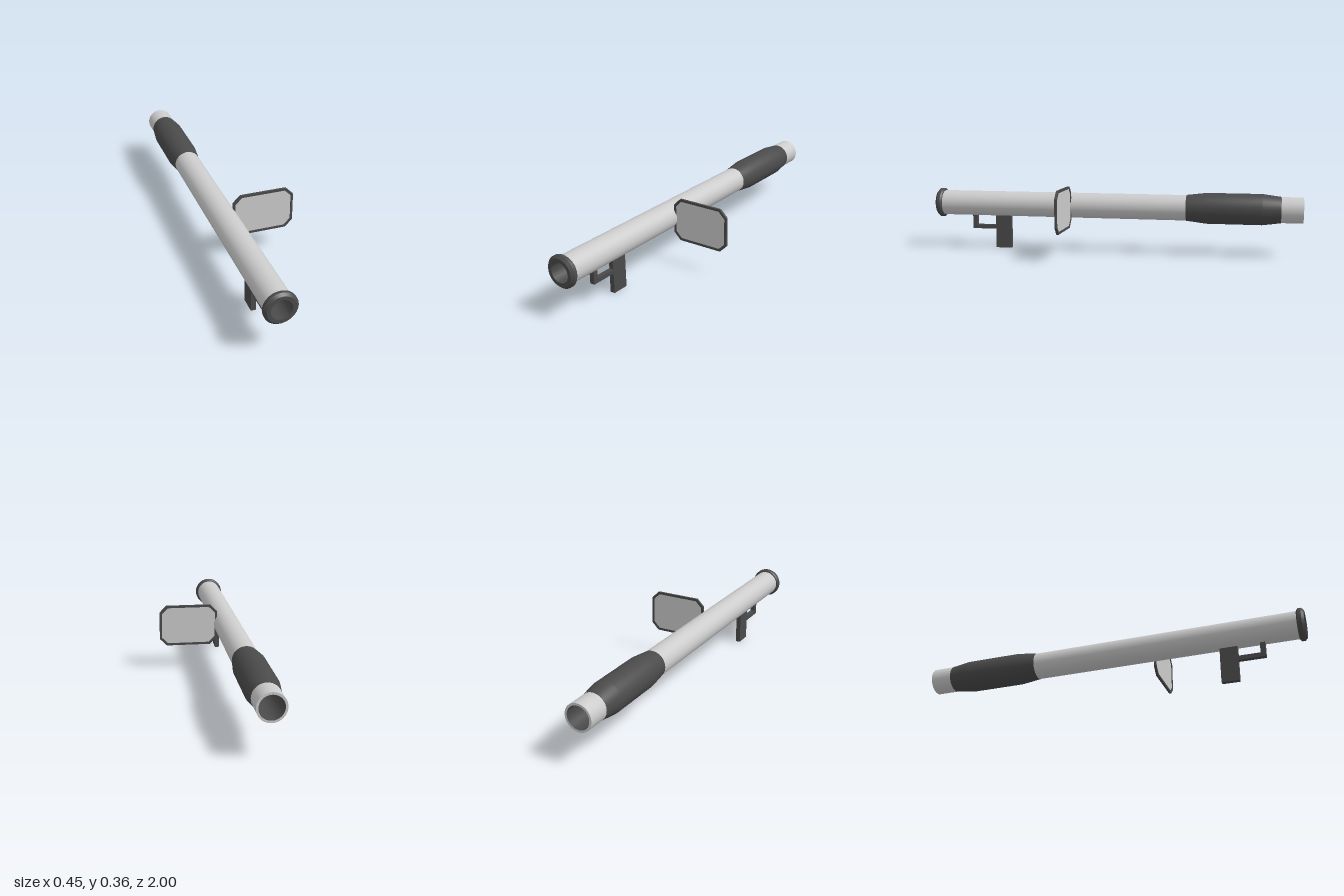
import * as THREE from 'three';
import { toCreasedNormals } from 'three/addons/utils/BufferGeometryUtils.js';

const AXIS_X = -0.143, AXIS_Y = 0.247;
const grey = new THREE.MeshStandardMaterial({ color: 0xcccccc });
const dark = new THREE.MeshStandardMaterial({ color: 0x4a4a4a });

// Turned part along z from [radius, z] points, outer side running towards +z
function turned(name, profile, material) {
  const points = profile.map(([r, z]) => new THREE.Vector2(r, z));
  const geometry = toCreasedNormals(new THREE.LatheGeometry(points, 40).rotateX(Math.PI / 2), 0.2);
  const mesh = new THREE.Mesh(geometry, material);
  mesh.name = name;
  mesh.position.set(AXIS_X, AXIS_Y, 0);
  return mesh;
}

// Box given by its y and z limits, centred under the tube
function gripBox(name, y0, y1, z0, z1) {
  const mesh = new THREE.Mesh(new THREE.BoxGeometry(0.025, y1 - y0, z1 - z0), dark);
  mesh.name = name;
  mesh.position.set(AXIS_X, (y0 + y1) / 2, (z0 + z1) / 2);
  return mesh;
}

// Corner points of a rectangle with cut corners
function octagon(x0, x1, y0, y1, c) {
  return [
    [x0 + c, y0], [x1 - c, y0], [x1, y0 + c], [x1, y1 - c],
    [x1 - c, y1], [x0 + c, y1], [x0, y1 - c], [x0, y0 + c],
  ].map(([x, y]) => new THREE.Vector2(x, y));
}

function slab(name, shape, depth, material) {
  const geometry = new THREE.ExtrudeGeometry(shape, { depth, bevelEnabled: false });
  const mesh = new THREE.Mesh(geometry.translate(0, 0, 0.232 - depth / 2), material);
  mesh.name = name;
  return mesh;
}

export function createModel() {
  const model = new THREE.Group();
  model.name = 'shoulderLauncher';

  // Main tube with an open rear end
  model.add(turned('tube', [[0.057, -1], [0.068, -1], [0.068, 0.97]], grey));

  // Dark bore wall, closed deep inside
  model.add(turned('rearBore', [[0, -0.6], [0.057, -0.6], [0.057, -1]], dark));
  model.add(turned('frontBore', [[0.05, 1], [0.05, 0.7], [0, 0.7]], dark));
  model.getObjectByName('rearBore').geometry = toCreasedNormals(
    new THREE.LatheGeometry([[0.057, 0], [0.057, -0.4], [0, -0.4]].map(([r, y]) => new THREE.Vector2(r, y)), 40)
      .rotateX(-Math.PI / 2).translate(0, 0, -1), 0.2);

  // Chamfered muzzle ring
  model.add(turned('muzzleRing', [
    [0.066, 0.963], [0.073, 0.965], [0.08, 0.973], [0.08, 0.988], [0.068, 1], [0.05, 1],
  ], dark));

  // Tapered rear sleeve
  model.add(turned('rearSleeve', [
    [0.066, -0.887], [0.069, -0.887], [0.082, -0.79], [0.082, -0.5], [0.069, -0.393], [0.066, -0.393],
  ], dark));

  // Grip and trigger guard
  const grip = new THREE.Group();
  grip.name = 'gripAssembly';
  grip.add(
    gripBox('grip', 0, 0.19, 0.58, 0.668),
    gripBox('guardBar', 0.105, 0.127, 0.668, 0.802),
    gripBox('guardPost', 0.127, 0.19, 0.777, 0.802),
  );
  model.add(grip);

  // Side shield: dark frame around a thin plate
  const shield = new THREE.Group();
  shield.name = 'shield';
  const inner = octagon(-0.079, 0.213, 0.147, 0.347, 0.033);
  const frame = new THREE.Shape(octagon(-0.091, 0.225, 0.135, 0.359, 0.038));
  frame.holes.push(new THREE.Path(inner));
  shield.add(slab('shieldFrame', frame, 0.012, dark));
  shield.add(slab('shieldPlate', new THREE.Shape(inner), 0.006, grey));
  model.add(shield);

  return model;
}
